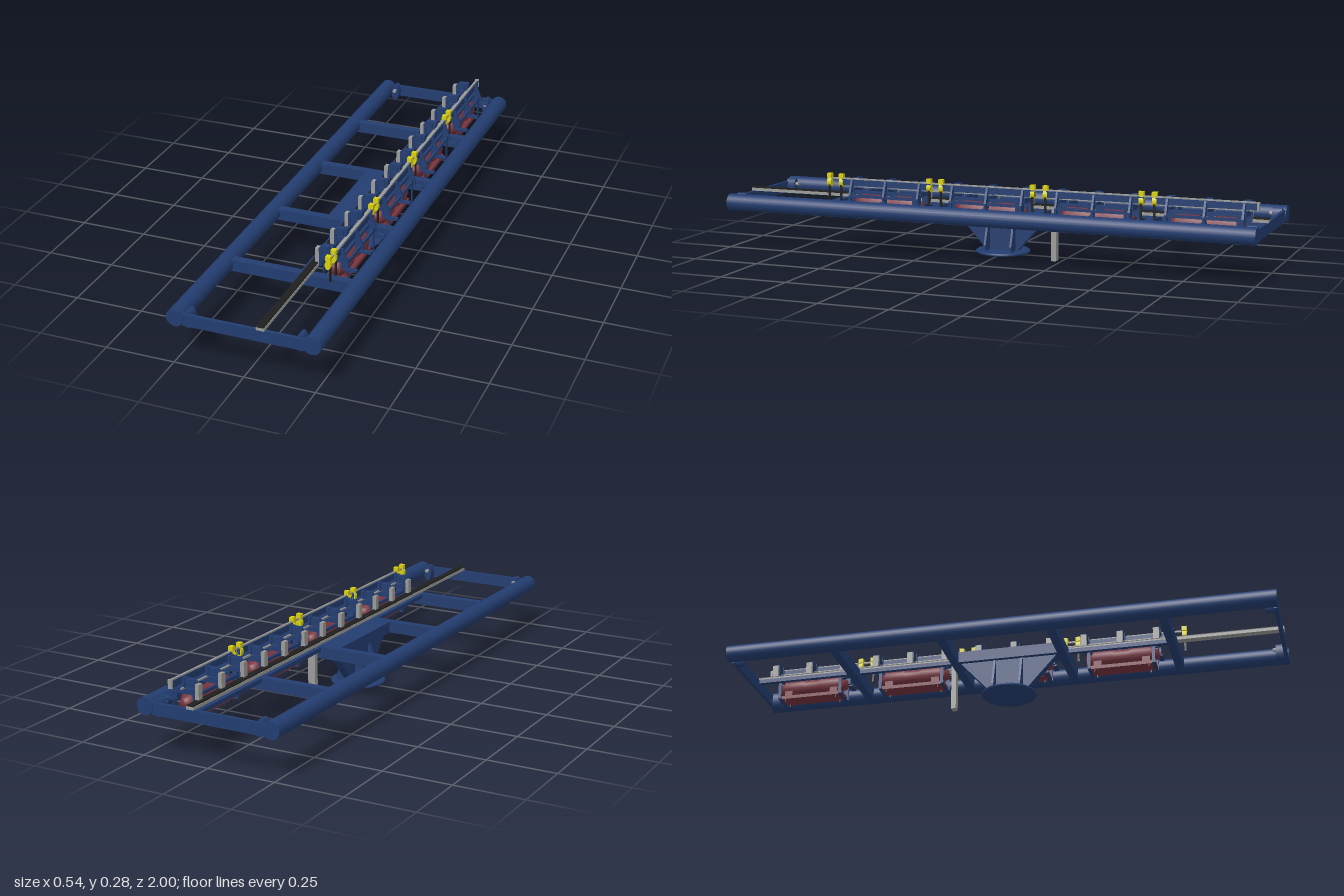
import * as THREE from 'three';

const mat = (name, color, side = THREE.FrontSide) => {
  const m = new THREE.MeshStandardMaterial({ color, side });
  m.name = name;
  return m;
};

export function createModel() {
  const root = new THREE.Group();
  root.name = 'rollerConveyorFrame';
  const blue = mat('frameBlue', 0x233d70);
  const red = mat('motorRed', 0x76343f);
  const yellow = mat('sensorYellow', 0xd8d00c);
  const grey = mat('steelGrey', 0x9a9a98);
  const black = mat('railBlack', 0x1e1e1e);

  const add = (parent, name, geo, m) => {
    const mesh = new THREE.Mesh(geo, m);
    mesh.name = name;
    parent.add(mesh);
    return mesh;
  };
  // Box given by its minimum and maximum on each axis
  const box = (parent, name, m, x0, x1, y0, y1, z0, z1) => {
    const b = add(parent, name, new THREE.BoxGeometry(x1 - x0, y1 - y0, z1 - z0), m);
    b.position.set((x0 + x1) / 2, (y0 + y1) / 2, (z0 + z1) / 2);
    return b;
  };
  // Cylinder lying along z
  const rodZ = (parent, name, m, x, y, z, r, len, sides = 16) => {
    const g = new THREE.CylinderGeometry(r, r, len, sides).rotateX(Math.PI / 2);
    const c = add(parent, name, g, m);
    c.position.set(x, y, z);
    return c;
  };
  // Flat plate in the xy plane, centred on z
  const plate = (parent, name, m, pts, z, depth) => {
    const s = new THREE.Shape(pts.map(p => new THREE.Vector2(...p)));
    const g = new THREE.ExtrudeGeometry(s, { depth, bevelEnabled: false });
    const p = add(parent, name, g, m);
    p.position.z = z - depth / 2;
    return p;
  };

  // Main frame: long tubes, end plates, corner lugs and cross beams
  const frame = new THREE.Group();
  frame.name = 'mainFrame';
  root.add(frame);
  for (const s of [-1, 1]) {
    rodZ(frame, 'sideTube', blue, s * 0.24, 0.17, 0, 0.031, 2, 24);
    box(frame, 'endPlate', blue, -0.215, 0.215, 0.145, 0.188, s * 0.991 - 0.006, s * 0.991 + 0.006);
    for (const t of [-1, 1]) {
      rodZ(frame, 'cornerLug', blue, s * 0.196, 0.168, t * 0.973, 0.0155, 0.036).scale.y = 2;
      rodZ(frame, 'lugPin', grey, s * 0.196, 0.178, t * 0.95, 0.007, 0.012, 10);
    }
  }
  for (const z of [-0.6, -0.2, 0.2, 0.6])
    box(frame, 'crossBeam', blue, -0.22, 0.22, 0.146, 0.188, z - 0.015, z + 0.015);
  box(frame, 'centrePlatform', blue, -0.032, 0.045, 0.146, 0.187, -0.21, 0.21);
  box(frame, 'railSupport', blue, 0.033, 0.05, 0.172, 0.187, -0.985, 0.6);

  // Pedestal: round foot, tapered column and side gussets
  const pedestal = new THREE.Group();
  pedestal.name = 'pedestal';
  root.add(pedestal);
  add(pedestal, 'footDisc', new THREE.LatheGeometry(
    [[0, 0.005], [0.096, 0.005], [0.1, 0.008], [0.1, 0.013], [0.096, 0.016], [0, 0.016]]
      .map(p => new THREE.Vector2(...p)), 32), blue);
  const column = plate(pedestal, 'taperedColumn', blue,
    [[-0.06, 0.015], [0.06, 0.015], [0.18, 0.147], [-0.18, 0.147]], 0, 0.032);
  column.rotation.y = Math.PI / 2;
  column.position.set(-0.016, 0, 0);
  for (const z of [-0.05, 0.05])
    plate(pedestal, 'columnGusset', blue,
      [[-0.06, 0.015], [0.06, 0.015], [0.06, 0.036], [0.021, 0.147], [-0.021, 0.147], [-0.06, 0.036]], z, 0.008);

  // Guide rail and its support leg
  box(root, 'guideRail', grey, 0.048, 0.077, 0.188, 0.199, -1, 1);
  box(root, 'guideRailTop', black, 0.05, 0.075, 0.199, 0.203, -1, 1);
  box(root, 'supportLeg', grey, 0.048, 0.077, 0, 0.19, -0.232, -0.214);

  // One drive unit, centred on its own z = 0
  const driveUnit = z => {
    const u = new THREE.Group();
    u.name = 'driveUnit';
    u.position.z = z;
    root.add(u);
    // Barrel motor and tray
    const barrel = new THREE.LatheGeometry(
      [[0, -0.135], [0.018, -0.135], [0.022, -0.115], [0.035, -0.105], [0.035, -0.035], [0.03, -0.025],
        [0.03, 0.025], [0.035, 0.035], [0.035, 0.105], [0.022, 0.115], [0.018, 0.135], [0, 0.135]]
        .map(p => new THREE.Vector2(...p)), 14).rotateX(Math.PI / 2);
    add(u, 'motorBarrel', barrel, red).position.set(0.13, 0.176, 0);
    box(u, 'motorTray', red, 0.097, 0.163, 0.127, 0.14, -0.125, 0.125);
    for (const x of [0.1, 0.153])
      for (const s of [-1, 1]) {
        box(u, 'motorSaddle', red, x, x + 0.008, 0.138, 0.165, s * 0.09 - 0.015, s * 0.09 + 0.015);
        box(u, 'trayBolt', black, x, x + 0.004, 0.116, 0.13, s * 0.1 - 0.002, s * 0.1 + 0.002);
      }
    // Hangers around the motor
    for (const s of [-1, 1]) {
      const h = s * 0.12;
      box(u, 'hangerBar', blue, 0.085, 0.177, 0.125, 0.129, h - 0.006, h + 0.006);
      for (const x of [0.085, 0.173])
        box(u, 'hangerRod', blue, x, x + 0.004, 0.125, 0.222, h - 0.006, h + 0.006);
    }
    for (const x of [0.083, 0.168])
      box(u, 'sideBeam', blue, x, x + 0.009, 0.204, 0.214, -0.14, 0.14);
    // Cross brackets with gussets, blocks and rail clamps
    for (const b of [-0.135, 0, 0.135]) {
      box(u, 'crossBracket', blue, 0.08, 0.158, 0.215, 0.234, b - 0.007, b + 0.007);
      plate(u, 'bracketGusset', blue,
        [[0.154, 0.19], [0.183, 0.19], [0.183, 0.212], [0.162, 0.266], [0.154, 0.266]], b, 0.008);
      box(u, 'bracketFoot', blue, 0.165, 0.212, 0.186, 0.194, b - 0.008, b + 0.008);
      plate(u, 'guideBlock', blue,
        [[0.078, 0.19], [0.087, 0.19], [0.087, 0.24], [0.115, 0.24], [0.115, 0.268], [0.088, 0.268], [0.078, 0.257]],
        b, 0.022);
      box(u, 'blockCap', blue, 0.117, 0.128, 0.237, 0.27, b - 0.012, b + 0.012);
      box(u, 'railClamp', grey, 0.064, 0.079, 0.2, 0.255, b - 0.011, b + 0.011);
    }
    // Upper beam with guide strips
    box(u, 'upperBeam', blue, 0.141, 0.155, 0.243, 0.266, -0.178, 0.178);
    box(u, 'lowerStrip', blue, 0.145, 0.155, 0.216, 0.227, -0.14, 0.14);
    // Paired sensors on thin posts at the front end
    for (const s of [0.182, 0.23]) {
      box(u, 'sensorHead', yellow, 0.139, 0.157, 0.268, 0.285, s - 0.009, s + 0.009);
      rodZ(u, 'sensorBody', yellow, 0.147, 0.252, s, 0.011, 0.016, 12).scale.y = 1.5;
      box(u, 'sensorPost', black, 0.151, 0.156, 0.188, 0.25, s - 0.004, s + 0.004);
    }
  };
  for (const z of [0.4, 0, -0.4, -0.8]) driveUnit(z);

  // Continuous strips above the drive units
  box(root, 'upperStrip', grey, 0.144, 0.152, 0.265, 0.271, -0.975, 0.62);
  box(root, 'innerStrip', grey, 0.119, 0.125, 0.234, 0.24, -0.96, 0.58);
  box(root, 'stripEndStop', grey, 0.141, 0.156, 0.24, 0.271, -0.985, -0.978);

  return root;
}
